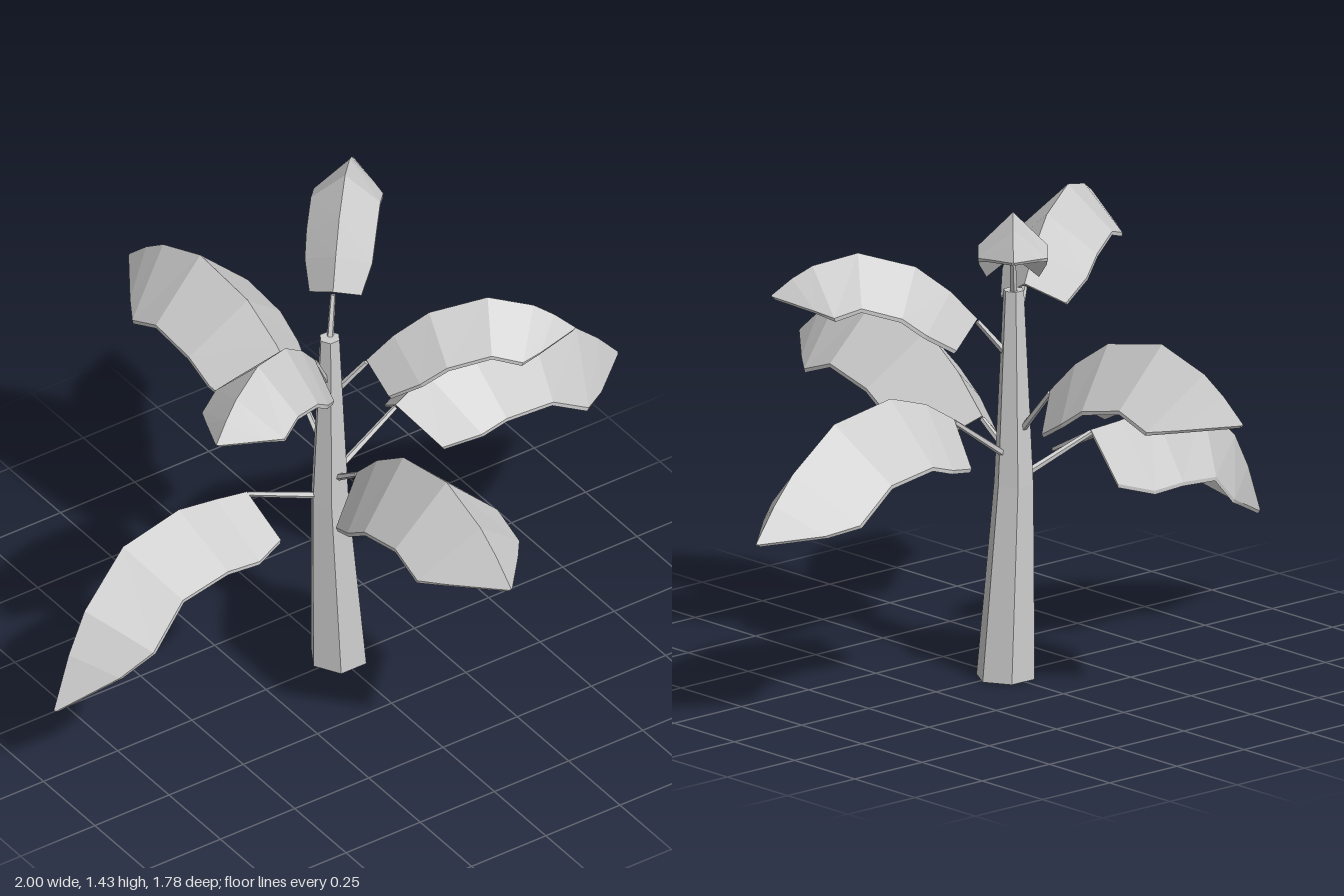
import * as THREE from 'three';

const material = new THREE.MeshStandardMaterial({ color: 0xcccccc, flatShading: true, side: THREE.DoubleSide });
const V = (x, y, z) => new THREE.Vector3(x, y, z);
const UP = V(0, 1, 0);
const trunkHeight = 1.11;

// Each leaf: joint height on the trunk, blade start and tip, slant width of each half,
// rise of the midrib arch, then optional sideways bend, roll (degrees) and droop towards the tip
const leaves = [
  { joint: 0.62, from: V(0.2, 0.78, -0.02), to: V(0.995, 0.588, -0.085), width: 0.235, rise: 0.195, bend: 0.02 },
  { joint: 0.56, from: V(-0.28, 0.665, -0.05), to: V(-1, 0.275, 0.05), width: 0.225, rise: 0.21, bend: 0.05, roll: 15, droop: 1 },
  { joint: 0.62, from: V(-0.02, 0.72, 0.11), to: V(-0.04, 0.8, 0.89), width: 0.235, rise: 0.205 },
  { joint: 0.68, from: V(-0.03, 0.85, -0.16), to: V(-0.095, 0.895, -0.89), width: 0.23, rise: 0.195 },
  { joint: 1.08, from: V(0.01, 1.23, -0.05), to: V(0.33, 1.34, -0.41), width: 0.135, rise: 0.138 },
  { joint: 0.9, from: V(0.06, 1.03, 0.04), to: V(0.55, 1.125, 0.35), width: 0.17, rise: 0.155, roll: -6 },
  { joint: 0.94, from: V(-0.11, 1.1, 0.035), to: V(-0.625, 1.185, 0.3), width: 0.18, rise: 0.152 },
];

// Stations along the blade and their widths: blunt base, full middle, pointed tip
const stations = [0, 0.13, 0.3, 0.58, 0.8, 0.9, 1];
const taper = [0.75, 0.97, 1, 1, 1, 0.7, 0.03];
const thickness = 0.011;

// Trunk axis: a slight lean with a bow at mid height
function trunkCentre(y) {
  const t = y / trunkHeight, bow = 4 * t * (1 - t);
  return V(0.005 - 0.03 * t - 0.01 * bow, y, -0.015 - 0.006 * bow);
}

// Thin folded blade swept along the arched midrib
function bladeGeometry({ from, to, width, rise, bend = 0, roll = 0, droop = 0 }) {
  const dir = to.clone().sub(from).setY(0).normalize();
  const side = V(-dir.z, 0, dir.x);
  const positions = [], index = [];
  const ribs = stations.map((t) => {
    const arch = 4 * t * (1 - t);
    return from.clone().lerp(to, t).addScaledVector(side, bend * arch)
      .addScaledVector(UP, rise * arch * (1 + droop * (t - 0.5)));
  });

  ribs.forEach((rib, i) => {
    const along = ribs[Math.min(i + 1, ribs.length - 1)].clone().sub(ribs[Math.max(i - 1, 0)]);
    const normal = dir.clone().multiplyScalar(-along.y).addScaledVector(UP, along.dot(dir)).normalize();
    const edge = (s) => {
      const slope = THREE.MathUtils.degToRad(44 + s * roll), w = width * taper[i];
      return rib.clone().addScaledVector(side, s * w * Math.cos(slope)).addScaledVector(normal, -w * Math.sin(slope));
    };
    const top = [edge(-1), rib, edge(1)];
    const bottom = top.map((p) => p.clone().addScaledVector(normal, -thickness)).reverse();
    for (const p of [...top, ...bottom]) positions.push(p.x, p.y, p.z);
  });

  for (let i = 0; i < ribs.length - 1; i++) {
    for (let k = 0; k < 6; k++) {
      const p = i * 6 + k, q = i * 6 + (k + 1) % 6;
      index.push(p, q, p + 6, q, q + 6, p + 6);
    }
  }
  // Close the blunt base
  index.push(0, 5, 4, 0, 4, 1, 1, 4, 3, 1, 3, 2);

  const geometry = new THREE.BufferGeometry();
  geometry.setAttribute('position', new THREE.Float32BufferAttribute(positions, 3));
  geometry.setIndex(index);
  const flat = geometry.toNonIndexed();
  flat.computeVertexNormals();
  return flat;
}

// Thin straight stalk between two points
function stalkGeometry(p, q) {
  const axis = q.clone().sub(p);
  const geometry = new THREE.CylinderGeometry(0.008, 0.011, axis.length(), 5);
  geometry.applyQuaternion(new THREE.Quaternion().setFromUnitVectors(UP, axis.normalize()));
  const mid = p.clone().lerp(q, 0.5);
  return geometry.translate(mid.x, mid.y, mid.z);
}

// Tapered hexagonal trunk following its bowed axis
function trunkGeometry() {
  const geometry = new THREE.CylinderGeometry(0.03, 0.085, trunkHeight, 6, 2, false, Math.PI / 2);
  geometry.translate(0, trunkHeight / 2, 0);
  const pos = geometry.attributes.position;
  for (let i = 0; i < pos.count; i++) {
    const centre = trunkCentre(pos.getY(i));
    pos.setX(i, pos.getX(i) + centre.x);
    pos.setZ(i, pos.getZ(i) + centre.z);
  }
  geometry.computeVertexNormals();
  return geometry;
}

export function createModel() {
  const model = new THREE.Group();
  model.name = 'broadLeafPlant';
  const add = (parent, name, geometry) => {
    const mesh = new THREE.Mesh(geometry, material);
    mesh.name = name;
    parent.add(mesh);
  };

  add(model, 'trunk', trunkGeometry());
  leaves.forEach((leaf, i) => {
    const group = new THREE.Group();
    group.name = `leaf${i + 1}`;
    const stalkEnd = leaf.from.clone().addScaledVector(UP, -0.008);
    add(group, 'stalk', stalkGeometry(trunkCentre(leaf.joint), stalkEnd));
    add(group, 'blade', bladeGeometry(leaf));
    model.add(group);
  });
  return model;
}
